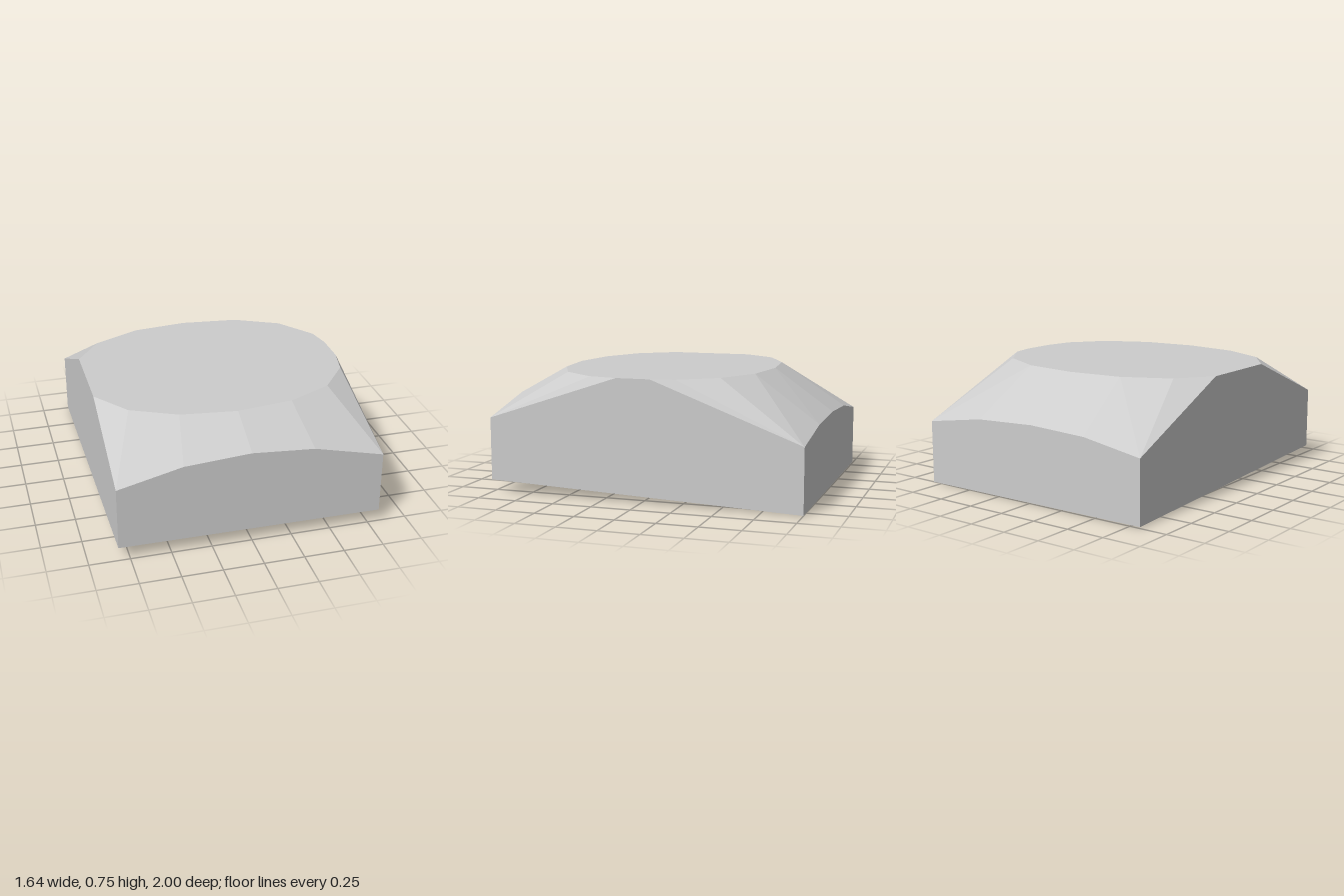
import * as THREE from 'three';
import { ConvexGeometry } from 'three/addons/geometries/ConvexGeometry.js';

const W = 0.82; // half width
const TOP = 0.755; // height of the flat top

export function createModel() {
  const group = new THREE.Group();
  group.name = 'facetedBlock';

  const stone = new THREE.MeshStandardMaterial({ color: 0xcccccc });
  stone.name = 'light grey';

  // Oval flat top, cut off by the two side walls: [x, z]
  const plateau = [
    [-W, -0.22], [-0.66, -0.44], [-0.37, -0.58], [-0.02, -0.62],
    [0.34, -0.58], [0.62, -0.44], [0.79, -0.21], [W, -0.06],
    [W, 0.155], [0.78, 0.34], [0.61, 0.56], [0.33, 0.695],
    [-0.02, 0.74], [-0.37, 0.695], [-0.65, 0.56], [-W, 0.33],
  ].map(([x, z]) => new THREE.Vector3(x, TOP, z));

  // Arched upper edges of the end walls: [x, y]
  const arch = (pts, z) => pts.map(([x, y]) => new THREE.Vector3(x, y, z));
  const frontArch = arch([[-W, 0.483], [-0.42, 0.58], [-0.01, 0.608], [0.38, 0.58], [W, 0.475]], 1);
  const backArch = arch([[-W, 0.405], [-0.42, 0.471], [-0.02, 0.487], [0.4, 0.468], [W, 0.402]], -1);

  // Slightly tilted base
  const base = [];
  for (const x of [-W, W]) {
    for (const z of [-1, 1]) {
      base.push(new THREE.Vector3(x, 0.044 + 0.04 * z - 0.004 * x / W, z));
    }
  }

  // All faces are planes spanned between these outlines
  const block = new THREE.Mesh(
    new ConvexGeometry([...plateau, ...frontArch, ...backArch, ...base]), stone);
  block.name = 'block';
  group.add(block);
  return group;
}
